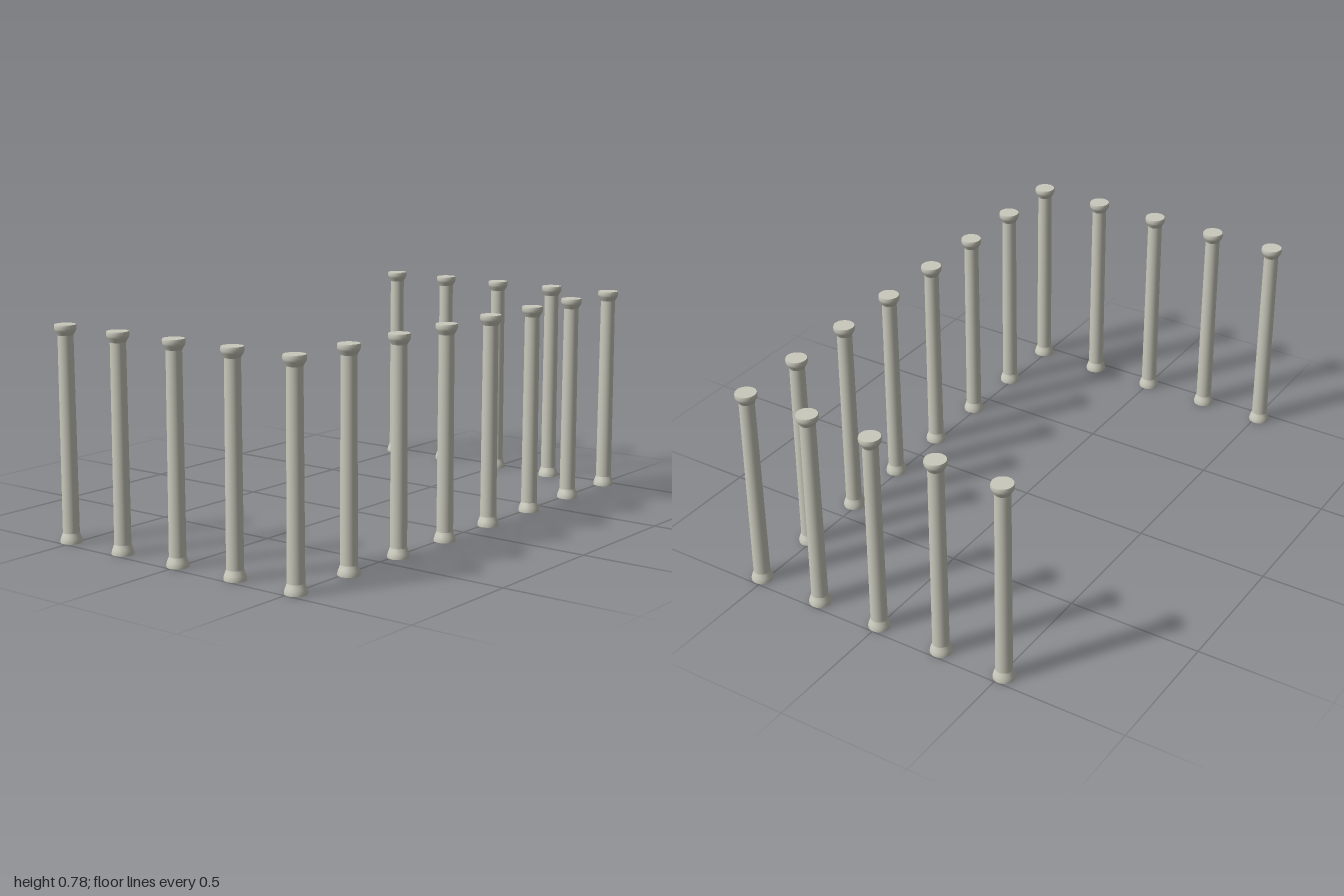
import * as THREE from 'three';

export function createModel() {
  const group = new THREE.Group();
  group.name = 'colonnade';

  const stone = new THREE.MeshStandardMaterial({ color: 0xc9c9bc });
  stone.name = 'pale stone';

  // Turn a smooth profile of [radius, height] points into a surface
  const SIDES = 28;
  const turn = (name, points) => {
    const profile = points.map(([r, y]) => new THREE.Vector2(r, y));
    const mesh = new THREE.Mesh(new THREE.LatheGeometry(profile, SIDES), stone);
    mesh.name = name;
    return mesh;
  };

  // One column: flared base, slightly tapered shaft, bell-shaped capital
  const column = new THREE.Group();
  column.add(
    turn('baseUnderside', [[0, 0], [0.039, 0]]),
    turn('base', [[0.039, 0], [0.039, 0.008], [0.036, 0.019], [0.032, 0.029], [0.0298, 0.036]]),
    turn('shaft', [[0.0298, 0.036], [0.0275, 0.738]]),
    turn('capital', [[0.0275, 0.738], [0.031, 0.745], [0.0365, 0.754], [0.039, 0.761], [0.039, 0.771], [0.0375, 0.776]]),
    turn('capitalTop', [[0.0375, 0.776], [0, 0.776]])
  );

  const place = (name, x, z) => {
    const copy = column.clone();
    copy.name = name;
    copy.position.set(x, 0, z);
    group.add(copy);
  };

  // Front row of eight columns, corners included
  const halfX = 0.96, frontZ = 0.514;
  for (let i = 0; i < 8; i++) {
    place(`frontColumn${i + 1}`, -halfX + (i * 2 * halfX) / 7, frontZ);
  }

  // Side rows running back from the corners
  for (const [side, sign] of [['left', 1], ['right', -1]]) {
    [0.255, -0.002, -0.26, -0.514].forEach((z, i) => place(`${side}Column${i + 1}`, sign * halfX, z));
  }

  return group;
}
